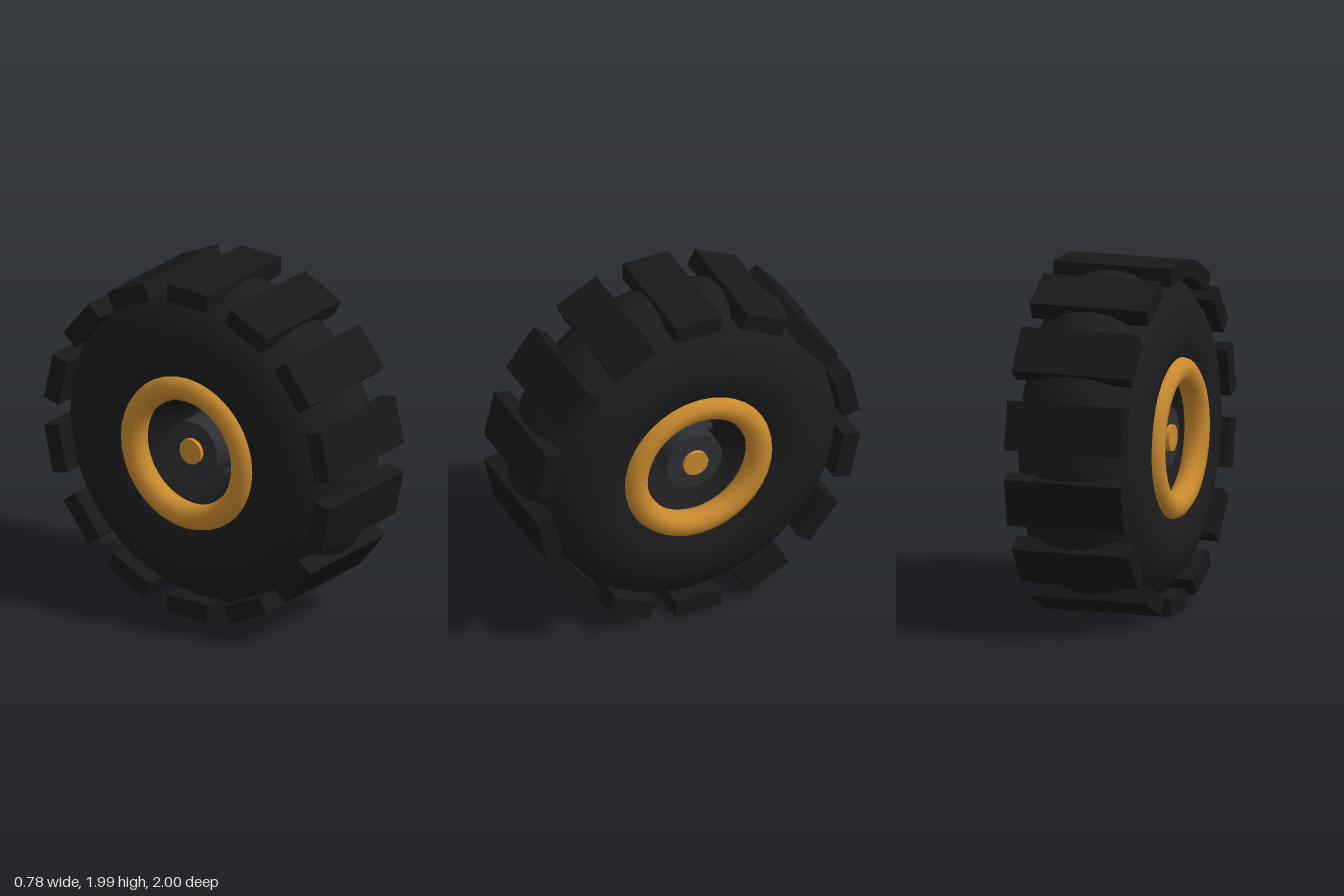
import * as THREE from 'three';

const CENTER_Y = 0.994;   // axle height
const LUGS = 14;
const SPOKES = 8;

const material = (color) => new THREE.MeshStandardMaterial({ color });

export function createModel() {
  const wheel = new THREE.Group();
  wheel.name = 'wheel';
  wheel.position.y = CENTER_Y;

  const rubber = material(0x1c1c1e);
  const tread = material(0x18181b);
  const metal = material(0x2d2f32);
  const gold = material(0xc98a2e);

  const add = (name, geometry, mat, parent = wheel) => {
    const mesh = new THREE.Mesh(geometry, mat);
    mesh.name = name;
    parent.add(mesh);
    return mesh;
  };

  // Ring and disc shapes whose axis is the axle (x)
  const ring = (radius, tube, tubeSides, sides) =>
    new THREE.TorusGeometry(radius, tube, tubeSides, sides).rotateY(Math.PI / 2);
  const disc = (radius, length, sides) =>
    new THREE.CylinderGeometry(radius, radius, length, sides).rotateZ(Math.PI / 2);

  // Fat round tyre
  add('tire', ring(0.604, 0.376, 18, 48), rubber);

  // Tread lugs, one centred at the top
  const lugs = new THREE.Group();
  lugs.name = 'treadLugs';
  wheel.add(lugs);
  const lugGeometry = new THREE.BoxGeometry(0.69, 0.104, 0.28).translate(0, 0.942, 0);
  for (let i = 0; i < LUGS; i++) {
    add('treadLug', lugGeometry, tread, lugs).rotation.x = (i / LUGS) * Math.PI * 2;
  }

  // Rim rings on both sides
  for (const side of [-1, 1]) {
    add(side > 0 ? 'leftRimRing' : 'rightRimRing', ring(0.386, 0.075, 10, 36), gold)
      .position.x = side * 0.32;
  }

  // Hub with the axle ends standing proud of it
  add('hub', disc(0.172, 0.58, 24), metal);
  add('axle', disc(0.075, 0.63, 20), gold);

  // Round spokes from the hub into the tyre
  const spokes = new THREE.Group();
  spokes.name = 'spokes';
  wheel.add(spokes);
  const spokeGeometry = new THREE.CylinderGeometry(0.039, 0.039, 0.22, 10).translate(0, 0.21, 0);
  for (let i = 0; i < SPOKES; i++) {
    add('spoke', spokeGeometry, metal, spokes).rotation.x = (i / SPOKES) * Math.PI * 2;
  }

  const model = new THREE.Group();
  model.name = 'model';
  model.add(wheel);
  return model;
}
